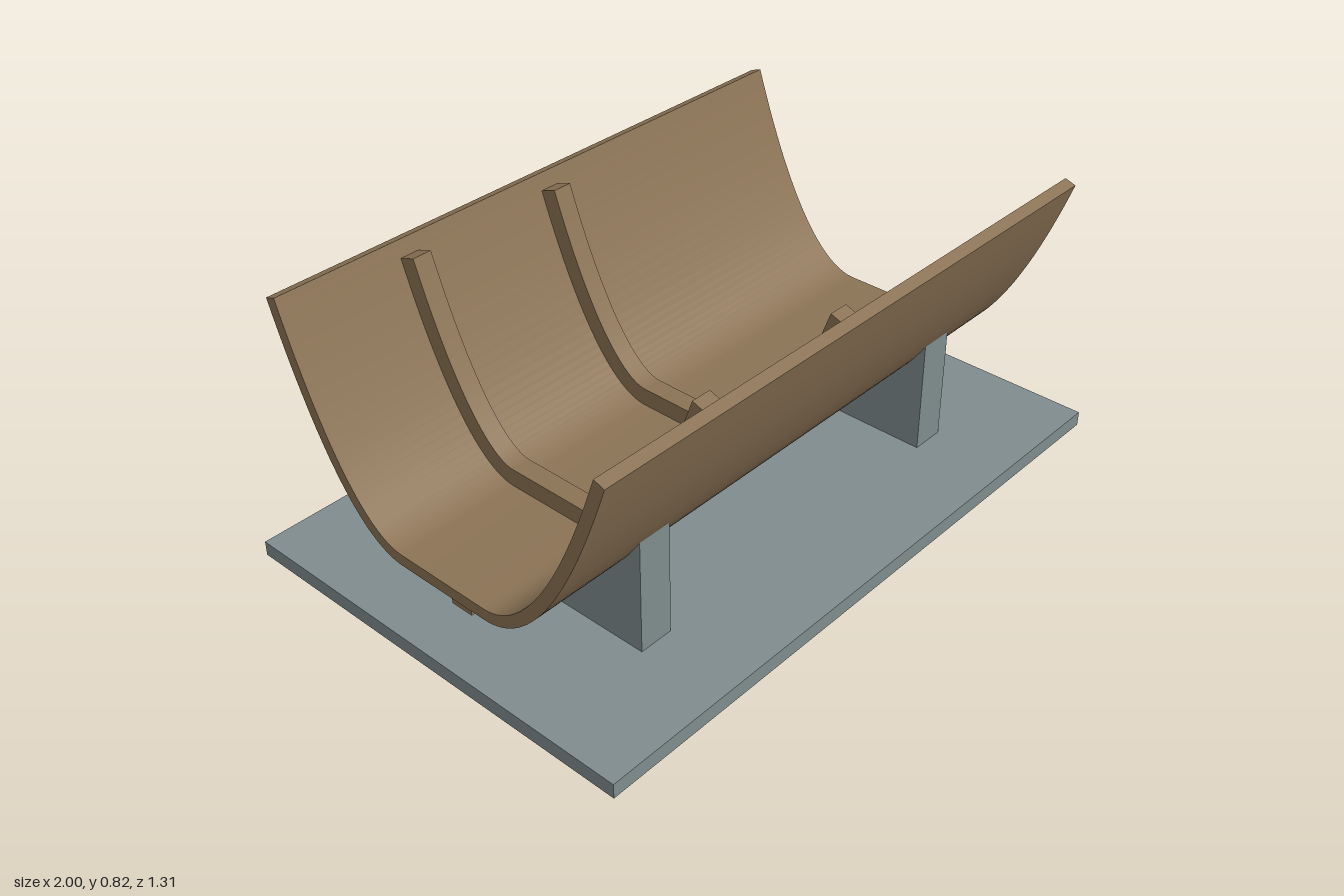
import * as THREE from 'three';
import { toCreasedNormals } from 'three/addons/utils/BufferGeometryUtils.js';

// Outer hull half-section: flat floor, then a quadratic sweep up to the rim (z, y).
const floorEdge = new THREE.Vector2(0.15, 0.195);
const sweep = new THREE.QuadraticBezierCurve(
  floorEdge, new THREE.Vector2(0.375, 0.195), new THREE.Vector2(0.583, 0.81));

// Points of the section from one side to the other, moved inward by offset.
function section(offset, tEnd = 1, steps = 28) {
  const half = [];
  for (let i = 0; i <= steps; i++) {
    const t = (i / steps) * tEnd;
    const p = sweep.getPoint(t);
    const d = sweep.getTangent(t);
    half.push(new THREE.Vector2(p.x - d.y * offset, p.y + d.x * offset));
  }
  const mirrored = half.map(p => new THREE.Vector2(-p.x, p.y)).reverse();
  return mirrored.concat(half);
}

// Extrude a (z, y) outline along x, centred on x.
function extrudeAlongX(points, width, x) {
  const geo = new THREE.ExtrudeGeometry(new THREE.Shape(points), { depth: width, bevelEnabled: false });
  geo.translate(0, 0, -width / 2);
  geo.rotateY(-Math.PI / 2);
  geo.translate(x, 0, 0);
  return toCreasedNormals(geo, 0.5);
}

// Curved band between two offsets from the outer hull line.
function band(inner, outer, tEnd, width, x) {
  const points = section(outer, tEnd).concat(section(inner, tEnd).reverse());
  return extrudeAlongX(points, width, x);
}

export function createModel() {
  const group = new THREE.Group();
  const wood = new THREE.MeshStandardMaterial({ color: 0x8b7355 });
  wood.name = 'wood';
  const stone = new THREE.MeshStandardMaterial({ color: 0x7f8c8d });
  stone.name = 'grey stand';

  function add(name, geometry, material, y = 0) {
    const mesh = new THREE.Mesh(geometry, material);
    mesh.name = name;
    mesh.position.y = y;
    group.add(mesh);
  }

  // Display stand
  add('base', new THREE.BoxGeometry(2, 0.045, 1.31), stone, 0.0225);

  // Cradles, cut to the outside of the hull
  const cradleTop = section(0).filter(p => Math.abs(p.x) < 0.399);
  const cradleOutline = [
    new THREE.Vector2(-0.4, 0.045), new THREE.Vector2(-0.4, 0.393),
    ...cradleTop,
    new THREE.Vector2(0.4, 0.393), new THREE.Vector2(0.4, 0.045),
  ];
  for (const side of [-1, 1]) {
    add(side > 0 ? 'leftCradle' : 'rightCradle', extrudeAlongX(cradleOutline, 0.106, side * 0.582), stone);
  }

  // Hull section, keel and inner ribs
  add('hullShell', band(0, 0.035, 1, 1.85, 0), wood);
  add('keel', new THREE.BoxGeometry(1.74, 0.092, 0.072), wood, 0.15);
  [-0.51, -0.003].forEach((x, i) => {
    add('rib' + (i + 1), band(0.034, 0.089, 0.962, 0.06, x), wood);
  });

  return group;
}
